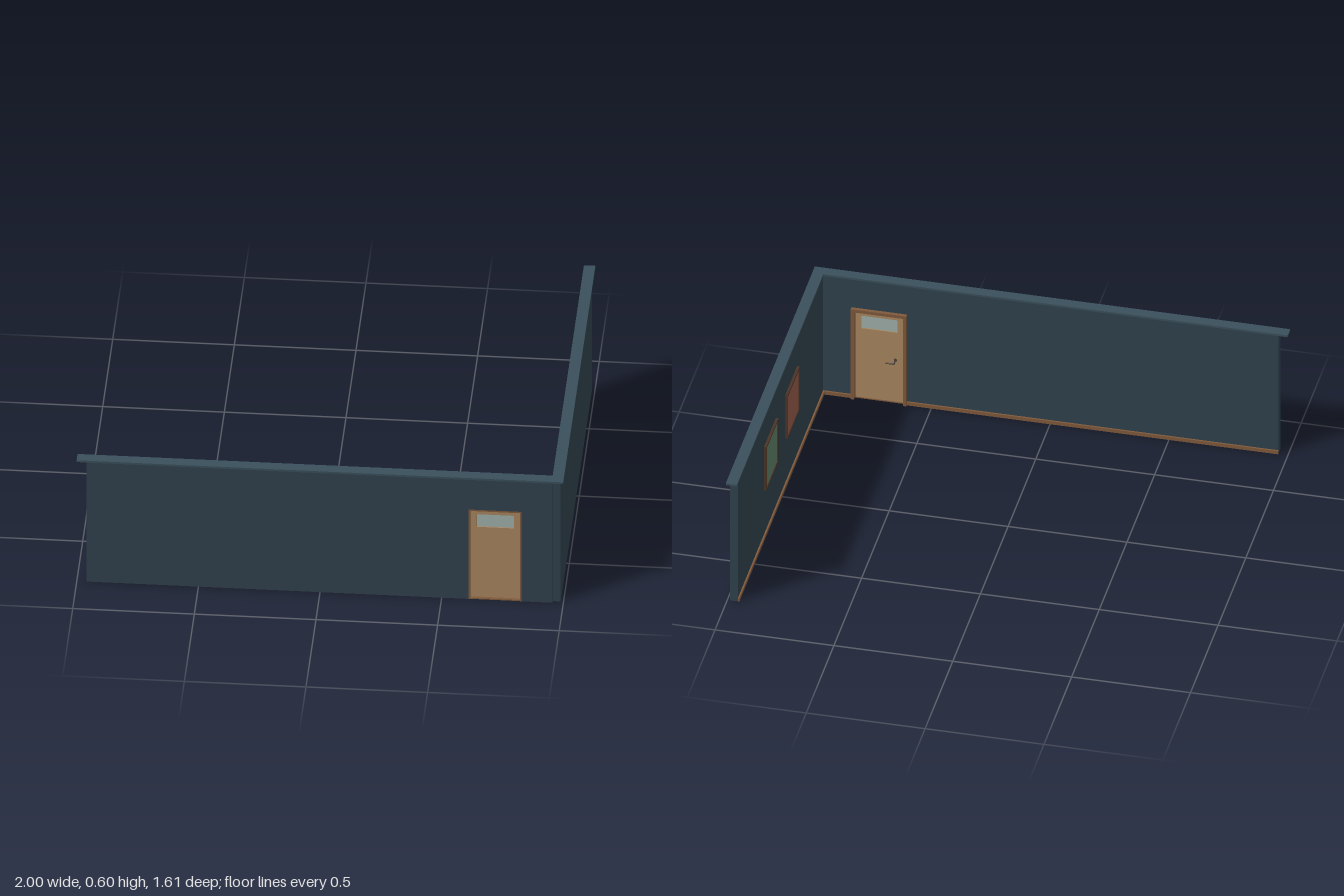
import * as THREE from 'three';

const mat = (color) => new THREE.MeshStandardMaterial({ color });
const wallMat = mat(0x30424d), capMat = mat(0x3a505b), trimMat = mat(0x805a3c);
const doorMat = mat(0xa98660), glassMat = mat(0x9fb0aa), metalMat = mat(0x4a4038);
const frameMat = mat(0x4a3426);

// Box given by its min and max corners
function box(parent, name, material, x0, x1, y0, y1, z0, z1) {
  const mesh = new THREE.Mesh(new THREE.BoxGeometry(x1 - x0, y1 - y0, z1 - z0), material);
  mesh.position.set((x0 + x1) / 2, (y0 + y1) / 2, (z0 + z1) / 2);
  mesh.name = name;
  parent.add(mesh);
  return mesh;
}

const polygon = (points) => new THREE.Shape(points.map(([x, y]) => new THREE.Vector2(x, y)));

function extrude(parent, name, material, shape, depth) {
  const mesh = new THREE.Mesh(
    new THREE.ExtrudeGeometry(shape, { depth, bevelEnabled: false }), material);
  mesh.name = name;
  parent.add(mesh);
  return mesh;
}

// Upside-down U around a doorway
const arch = (x0, x1, top, w) => polygon([
  [x0, 0], [x0 + w, 0], [x0 + w, top - w], [x1 - w, top - w],
  [x1 - w, 0], [x1, 0], [x1, top], [x0, top],
]);

// Rectangle with a rectangular hole
function ring(x0, x1, y0, y1, hole) {
  const shape = polygon([[x0, y0], [x1, y0], [x1, y1], [x0, y1]]);
  const [a, b, c, d] = hole;
  shape.holes.push(polygon([[a, c], [a, d], [b, d], [b, c]]));
  return shape;
}

function makeDoor() {
  const door = new THREE.Group();
  door.name = 'door';
  // Lining inside the opening and casing on the room side
  extrude(door, 'doorLining', trimMat, arch(0.61, 0.828, 0.44, 0.007), 0.032).position.z = 0.764;
  extrude(door, 'doorCasing', trimMat, arch(0.603, 0.837, 0.447, 0.014), 0.015).position.z = 0.75;
  // Leaf with a glazed light near the top
  const leaf = ring(0.617, 0.821, 0.005, 0.433, [0.643, 0.796, 0.348, 0.41]);
  extrude(door, 'doorLeaf', doorMat, leaf, 0.016).position.z = 0.767;
  box(door, 'doorGlass', glassMat, 0.643, 0.796, 0.348, 0.41, 0.772, 0.778);
  box(door, 'threshold', trimMat, 0.617, 0.821, 0, 0.005, 0.765, 0.795);
  // Lever handle on the room side
  const rod = (name, radius, length, x, z) => {
    const mesh = new THREE.Mesh(new THREE.CylinderGeometry(radius, radius, length, 12), metalMat);
    mesh.name = name;
    mesh.position.set(x, 0.212, z);
    door.add(mesh);
    return mesh;
  };
  rod('handleRose', 0.007, 0.003, 0.652, 0.766).rotation.x = Math.PI / 2;
  rod('handleSpindle', 0.003, 0.032, 0.652, 0.751).rotation.x = Math.PI / 2;
  rod('handleLever', 0.003, 0.036, 0.668, 0.736).rotation.z = Math.PI / 2;
  return door;
}

// Framed picture on the inner face of the side wall
function makePicture(name, z, color) {
  const picture = new THREE.Group();
  picture.name = name;
  const h = 0.108, i = 0.1;
  const frame = ring(-h, h, -h, h, [-i, i, -i, i]);
  extrude(picture, 'pictureFrame', frameMat, frame, 0.011);
  box(picture, 'picturePanel', mat(color), -i, i, -i, i, 0, 0.007);
  picture.rotation.y = -Math.PI / 2;
  picture.position.set(0.956, 0.343, z);
  return picture;
}

export function createModel() {
  const model = new THREE.Group();
  model.name = 'cornerWalls';

  // Front wall with a doorway, and side wall
  const front = polygon([
    [-0.96, 0], [0.61, 0], [0.61, 0.44], [0.828, 0.44],
    [0.828, 0], [0.956, 0], [0.956, 0.59], [-0.96, 0.59],
  ]);
  extrude(model, 'frontWall', wallMat, front, 0.031).position.z = 0.765;
  box(model, 'sideWall', wallMat, 0.956, 0.988, 0, 0.59, -0.778, 0.784);

  // L-shaped coping along both walls
  const coping = polygon([
    [-1, -0.803], [1, -0.803], [1, 0.806], [0.953, 0.806], [0.953, -0.756], [-1, -0.756],
  ]);
  const cap = extrude(model, 'wallCap', capMat, coping, 0.009);
  cap.rotation.x = -Math.PI / 2;
  cap.position.y = 0.59;

  // Skirting boards on the room side
  box(model, 'skirting', trimMat, -0.96, 0.603, 0, 0.016, 0.758, 0.765);
  box(model, 'skirting', trimMat, 0.837, 0.949, 0, 0.016, 0.758, 0.765);
  box(model, 'skirting', trimMat, 0.949, 0.956, 0, 0.016, -0.778, 0.765);

  model.add(makeDoor());
  model.add(makePicture('greenPicture', -0.197, 0x5f7f66));
  model.add(makePicture('redPicture', 0.187, 0x95594a));
  return model;
}
